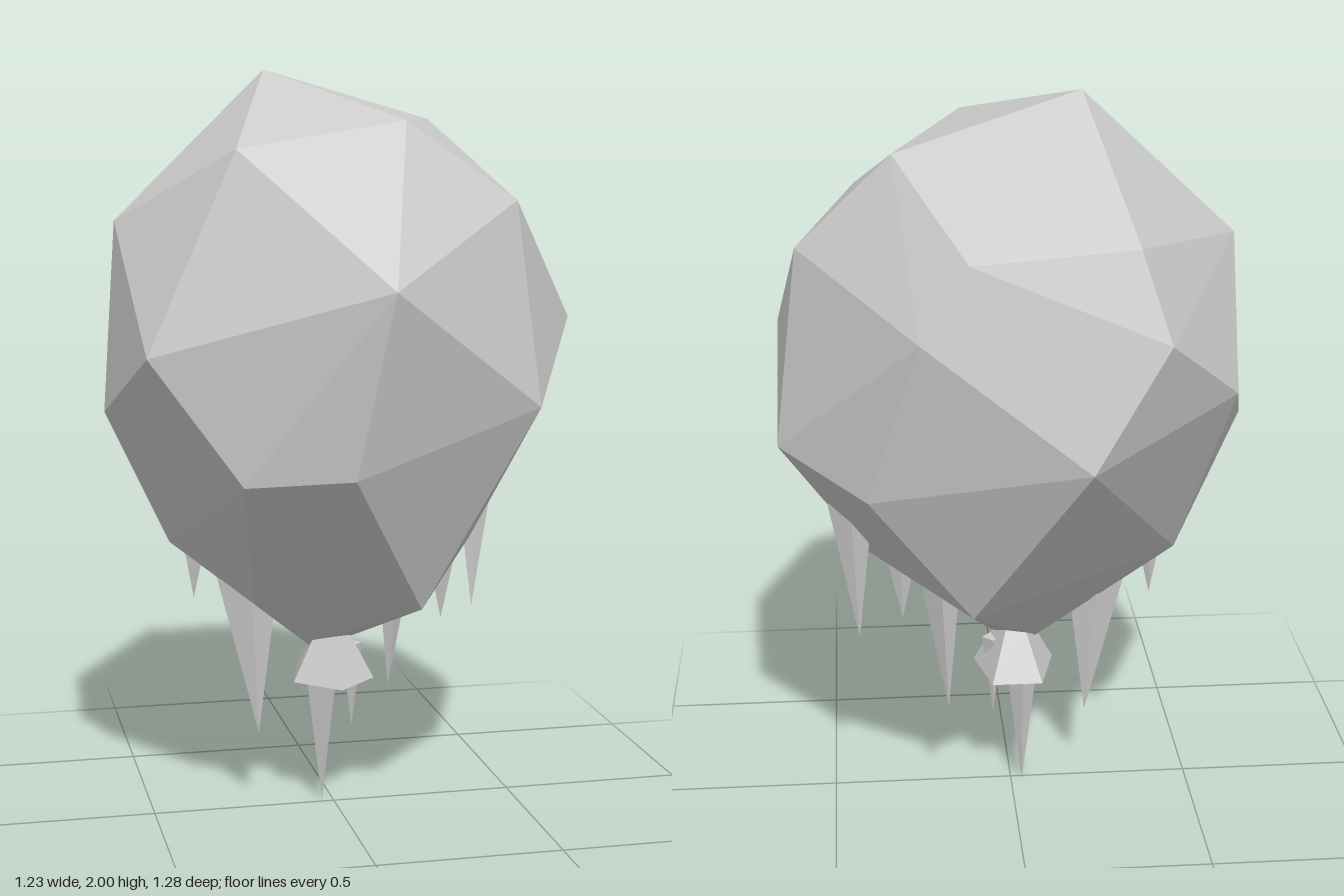
import * as THREE from 'three';
import { ConvexGeometry } from 'three/addons/geometries/ConvexGeometry.js';

export function createModel() {
  const group = new THREE.Group();
  const material = new THREE.MeshStandardMaterial({ color: 0xcccccc, flatShading: true });

  function add(name, geometry) {
    const mesh = new THREE.Mesh(geometry, material);
    mesh.name = name;
    group.add(mesh);
    return mesh;
  }

  // Faceted boulder: rings of corners from the crown down to the narrow base
  const corners = [
    // crown
    [-0.17, 2, -0.1], [0.31, 1.87, -0.21], [0.11, 1.87, 0.34], [-0.31, 1.8, 0.29],
    // shoulder
    [-0.58, 1.61, -0.03], [0.4, 1.67, 0.34], [0.555, 1.62, -0.14],
    [0.14, 1.68, -0.555], [-0.27, 1.7, -0.51],
    // widest part
    [0.015, 1.47, 0.64], [-0.545, 1.29, 0.34], [0.615, 1.35, 0.12], [0.26, 1.5, -0.59],
    [-0.34, 1.48, -0.58], [-0.55, 1.27, -0.33], [-0.615, 1.11, -0.02],
    [0.45, 1.15, 0.41], [0.615, 1.12, -0.22], [-0.15, 1.18, -0.64], [0.39, 1.06, -0.475],
    // underside
    [-0.06, 1, 0.54], [-0.32, 0.975, 0.435], [0.125, 0.735, 0.33], [-0.44, 0.74, -0.07],
    [0.39, 0.73, -0.02], [0.125, 0.69, -0.38], [-0.24, 0.6, 0.1], [0.18, 0.6, 0.26],
    [0.05, 0.47, 0], [-0.07, 0.45, 0],
  ];
  add('boulder', new ConvexGeometry(corners.map((c) => new THREE.Vector3(...c))));

  // Small flared collar under the boulder
  const collar = add('collar', new THREE.CylinderGeometry(0.06, 0.15, 0.13, 5));
  collar.scale.x = 0.78;
  collar.position.set(-0.01, 0.425, 0);

  // Hanging spike: tip and top centre, with half widths along x and z at the top
  function spike(name, tip, top, rx, rz) {
    const geometry = new THREE.ConeGeometry(1, 1, 4);
    geometry.rotateX(Math.PI).translate(0, 0.5, 0).scale(rx, top[1] - tip[1], rz);
    const p = geometry.attributes.position;
    for (let i = 0; i < p.count; i++) {
      const t = p.getY(i) / (top[1] - tip[1]);
      p.setX(i, p.getX(i) + tip[0] + (top[0] - tip[0]) * t);
      p.setZ(i, p.getZ(i) + tip[2] + (top[2] - tip[2]) * t);
      p.setY(i, p.getY(i) + tip[1]);
    }
    geometry.computeVertexNormals();
    add(name, geometry);
  }
  spike('centreSpike', [-0.03, 0, -0.02], [-0.03, 0.42, -0.02], 0.05, 0.045);
  spike('smallSpike', [0.05, 0.215, 0], [0.05, 0.45, 0], 0.03, 0.03);
  spike('rightSpike', [-0.21, 0.21, 0], [-0.24, 0.68, 0], 0.09, 0.05);
  spike('rightOuterSpike', [-0.38, 0.59, -0.04], [-0.375, 0.84, -0.04], 0.05, 0.04);
  spike('backSpike', [0.18, 0.29, -0.11], [0.2, 0.72, -0.1], 0.06, 0.06);
  spike('leftSpike', [0.3, 0.51, 0.01], [0.3, 0.74, 0.01], 0.05, 0.035);
  spike('leftOuterSpike', [0.42, 0.51, -0.1], [0.435, 0.92, -0.13], 0.06, 0.035);
  return group;
}
